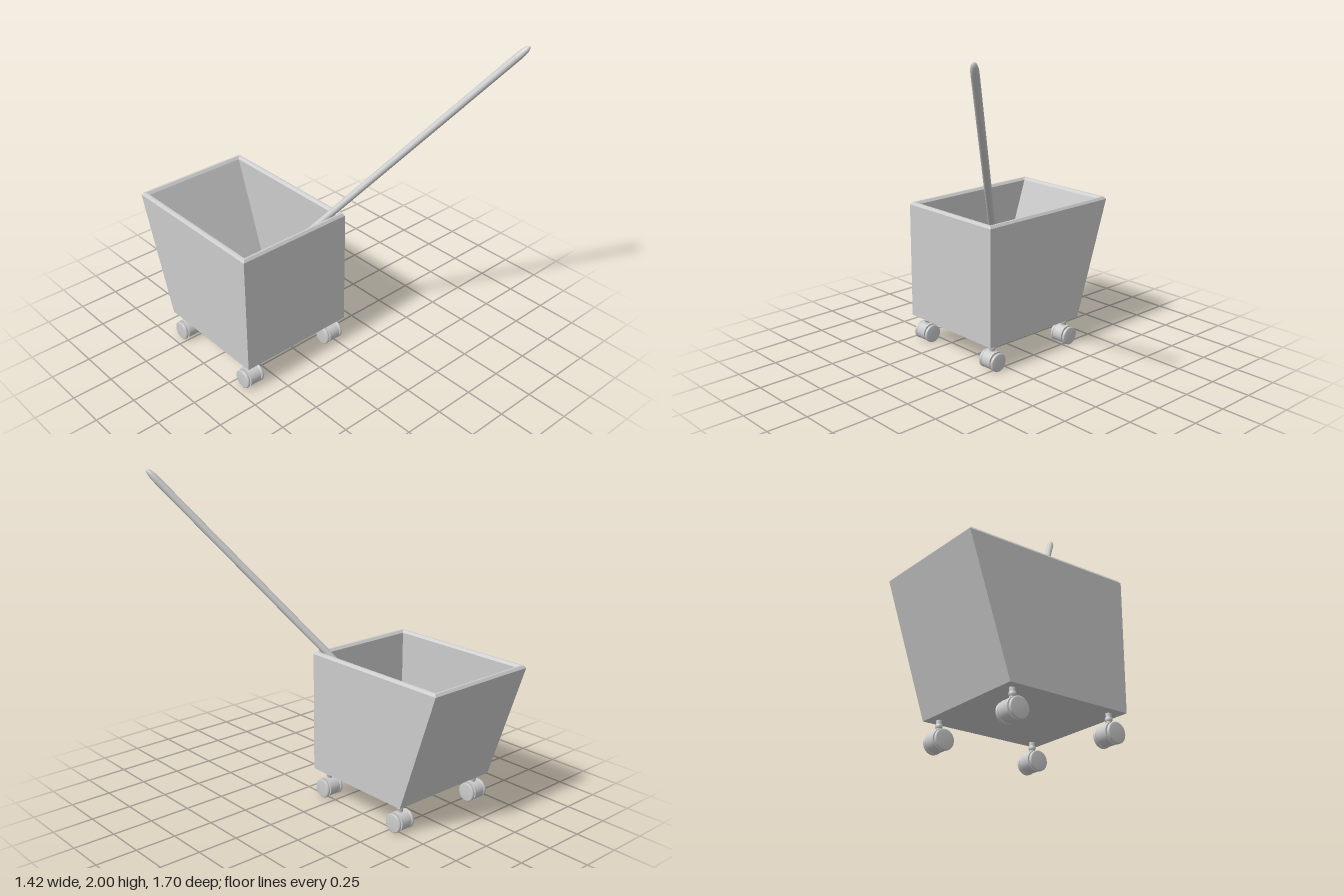
import * as THREE from 'three';

const grey = new THREE.MeshStandardMaterial({ color: 0xcccccc });

function add(parent, name, geometry, material = grey) {
  const mesh = new THREE.Mesh(geometry, material);
  mesh.name = name;
  parent.add(mesh);
  return mesh;
}

// Open bucket: rectangular loops run up the outside, over the rim and down the inside
function bucketGeometry() {
  const sections = [[0.175, 0], [0.915, 0], [0.93, 0.011], [0.93, 0.023], [0.915, 0.036], [0.2, 0.036]];
  const loops = sections.map(([y, inset]) => {
    const x0 = -0.71 + inset, x1 = 0.04 - inset;
    const front = 0.15 - inset;
    const back = -0.6 - (Math.min(y, 0.915) - 0.175) / 0.74 * 0.25 + inset;
    return [[x0, y, front], [x1, y, front], [x1, y, back], [x0, y, back]];
  });
  const positions = [];
  const quad = (a, b, c, d) => positions.push(...a, ...b, ...c, ...a, ...c, ...d);
  for (let s = 0; s < loops.length - 1; s++) {
    for (let i = 0; i < 4; i++) {
      const j = (i + 1) % 4;
      quad(loops[s][i], loops[s][j], loops[s + 1][j], loops[s + 1][i]);
    }
  }
  quad(...loops[loops.length - 1]);
  quad(...[...loops[0]].reverse());
  const geometry = new THREE.BufferGeometry();
  geometry.setAttribute('position', new THREE.Float32BufferAttribute(positions, 3));
  geometry.computeVertexNormals();
  return geometry;
}

// Twin-wheel caster with its stem, standing on y = 0
function caster() {
  const group = new THREE.Group();
  group.name = 'caster';
  const hub = add(group, 'casterHub', new THREE.CylinderGeometry(0.058, 0.058, 0.072, 24));
  hub.rotation.z = Math.PI / 2;
  hub.position.y = 0.063;
  const axle = add(group, 'casterAxle', new THREE.CylinderGeometry(0.045, 0.045, 0.1, 20));
  axle.rotation.z = Math.PI / 2;
  axle.position.y = 0.063;
  const profile = [[0, 0], [0.05, 0], [0.058, 0.005], [0.058, 0.016], [0.051, 0.021], [0, 0.021]]
    .map(([r, h]) => new THREE.Vector2(r, h));
  for (const side of [-1, 1]) {
    const wheel = add(group, 'wheel', new THREE.LatheGeometry(profile, 24));
    wheel.rotation.z = -side * Math.PI / 2;
    wheel.position.set(side * 0.041, 0.06, 0);
  }
  const stem = add(group, 'casterStem', new THREE.CylinderGeometry(0.016, 0.016, 0.08, 16));
  stem.position.y = 0.145;
  const collar = add(group, 'casterCollar', new THREE.SphereGeometry(0.02, 16, 10));
  collar.position.y = 0.142;
  return group;
}

// Soft mop head: a tube whose radius is rounded off at both ends
function mopHeadGeometry() {
  const path = new THREE.CatmullRomCurve3([
    [-0.315, 0.52, -0.28], [-0.315, 0.43, -0.27], [-0.36, 0.345, -0.2],
    [-0.46, 0.305, -0.125], [-0.57, 0.3, -0.105], [-0.675, 0.3, -0.1],
  ].map((p) => new THREE.Vector3(...p)));
  const rings = 36, sides = 16, radius = 0.104;
  const geometry = new THREE.TubeGeometry(path, rings, radius, sides, false);
  const pos = geometry.attributes.position;
  const length = path.getLength();
  const v = new THREE.Vector3();
  for (let i = 0; i < pos.count; i++) {
    const t = Math.floor(i / (sides + 1)) / rings;
    const startGap = Math.max(0, 1 - t * length / 0.09);
    const endGap = Math.max(0, 1 - (1 - t) * length / 0.07);
    const scale = Math.sqrt(1 - startGap ** 2) * (1 - 0.5 * endGap ** 2);
    const centre = path.getPointAt(t);
    v.fromBufferAttribute(pos, i).sub(centre).multiplyScalar(scale).add(centre);
    pos.setXYZ(i, v.x, v.y, v.z);
  }
  geometry.computeVertexNormals();
  return geometry;
}

export function createModel() {
  const model = new THREE.Group();
  model.name = 'mopBucket';

  add(model, 'bucket', bucketGeometry());

  for (const x of [-0.648, -0.023]) {
    for (const z of [0.08, -0.54]) {
      const c = caster();
      c.position.set(x, 0, z);
      model.add(c);
    }
  }

  // Leaning mop with a round-ended pole
  const mop = new THREE.Group();
  mop.name = 'mop';
  model.add(mop);
  const headMaterial = grey.clone();
  headMaterial.side = THREE.DoubleSide;
  add(mop, 'mopHead', mopHeadGeometry(), headMaterial);

  const base = new THREE.Vector3(-0.325, 0.46, -0.24);
  const tip = new THREE.Vector3(0.7, 2, 0.845);
  const axis = tip.clone().sub(base);
  const length = axis.length();
  const poleProfile = [[0, 0], [0.015, 0.01], [0.021, 0.04], [0.022, length - 0.09],
    [0.021, length - 0.05], [0.016, length - 0.02], [0.009, length - 0.005], [0, length]]
    .map(([r, h]) => new THREE.Vector2(r, h));
  const pole = add(mop, 'mopHandle', new THREE.LatheGeometry(poleProfile, 20));
  pole.position.copy(base);
  pole.quaternion.setFromUnitVectors(new THREE.Vector3(0, 1, 0), axis.normalize());

  return model;
}
